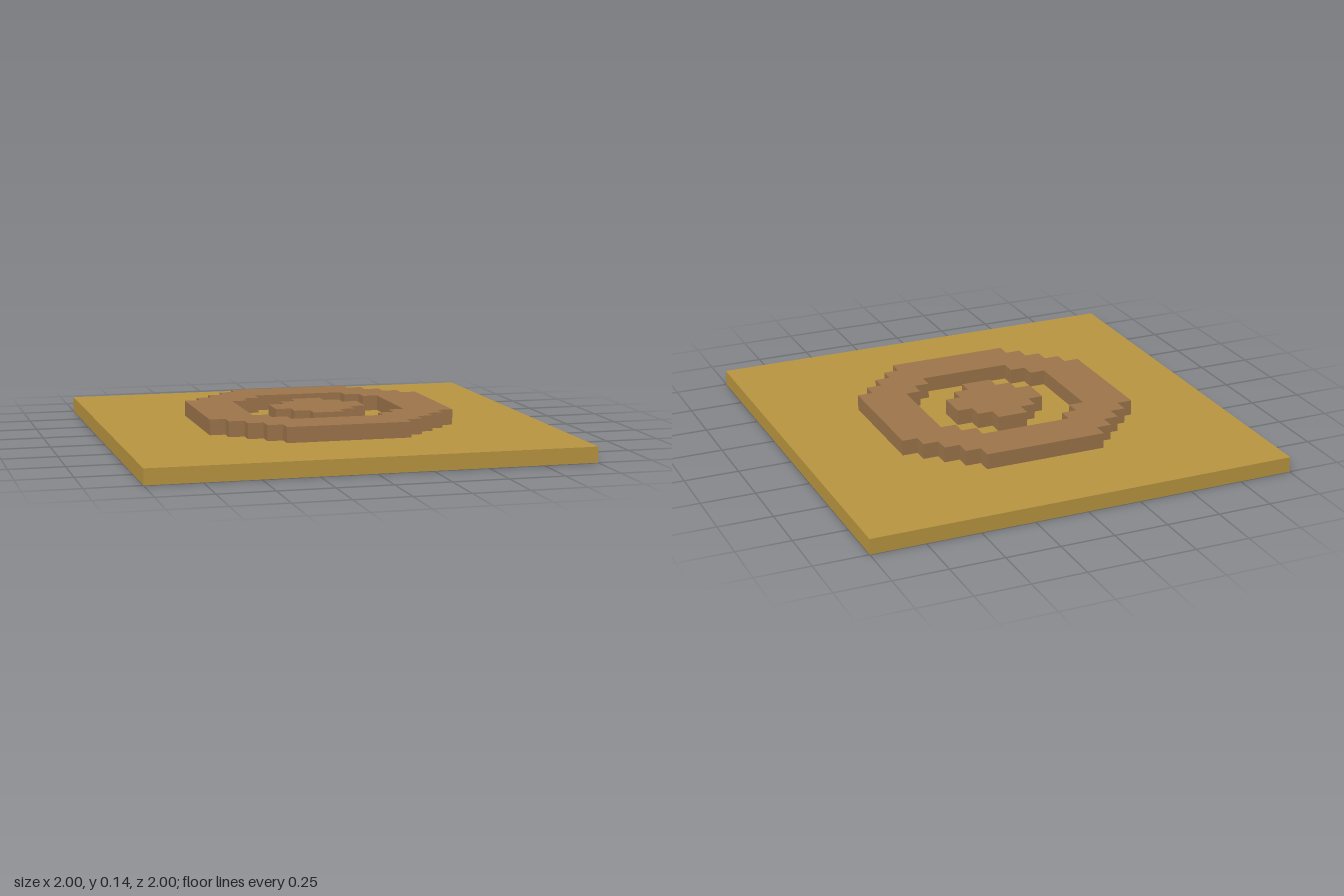
import * as THREE from 'three';

const U = 1 / 14; // one block

// Closed, four-fold symmetric stepped outline from the corners of one quadrant
function steppedOutline(corners) {
  const points = [];
  for (let q = 0; q < 4; q++) {
    for (const [x, y] of corners) {
      const turned = [[x, y], [-y, x], [-x, -y], [y, -x]][q];
      points.push(new THREE.Vector2(turned[0] * U, turned[1] * U));
    }
  }
  return points;
}

// Flat slab, one block thick, resting on top of the base
function slab(name, shape, material) {
  const geometry = new THREE.ExtrudeGeometry(shape, { depth: U, bevelEnabled: false });
  geometry.rotateX(-Math.PI / 2);
  const mesh = new THREE.Mesh(geometry, material);
  mesh.position.y = U;
  mesh.name = name;
  return mesh;
}

export function createModel() {
  const group = new THREE.Group();
  group.name = 'steppedRingTile';

  const gold = new THREE.MeshStandardMaterial({ color: 0xba9640 });
  gold.name = 'gold';
  const brown = new THREE.MeshStandardMaterial({ color: 0x9d754b });
  brown.name = 'brown';

  // Square base plate
  const base = new THREE.Mesh(new THREE.BoxGeometry(28 * U, U, 28 * U), gold);
  base.position.y = U / 2;
  base.name = 'base';
  group.add(base);

  // Raised ring with a stepped opening
  const ring = new THREE.Shape(steppedOutline(
    [[8, 4], [7, 4], [7, 5], [6, 5], [6, 6], [5, 6], [5, 7], [4, 7], [4, 8]]));
  ring.holes.push(new THREE.Path(steppedOutline([[5, 3], [4, 3], [4, 4], [3, 4], [3, 5]])));
  group.add(slab('ring', ring, brown));

  // Raised centre
  const centre = new THREE.Shape(steppedOutline([[3, 1], [2, 1], [2, 2], [1, 2], [1, 3]]));
  group.add(slab('centre', centre, brown));

  return group;
}
